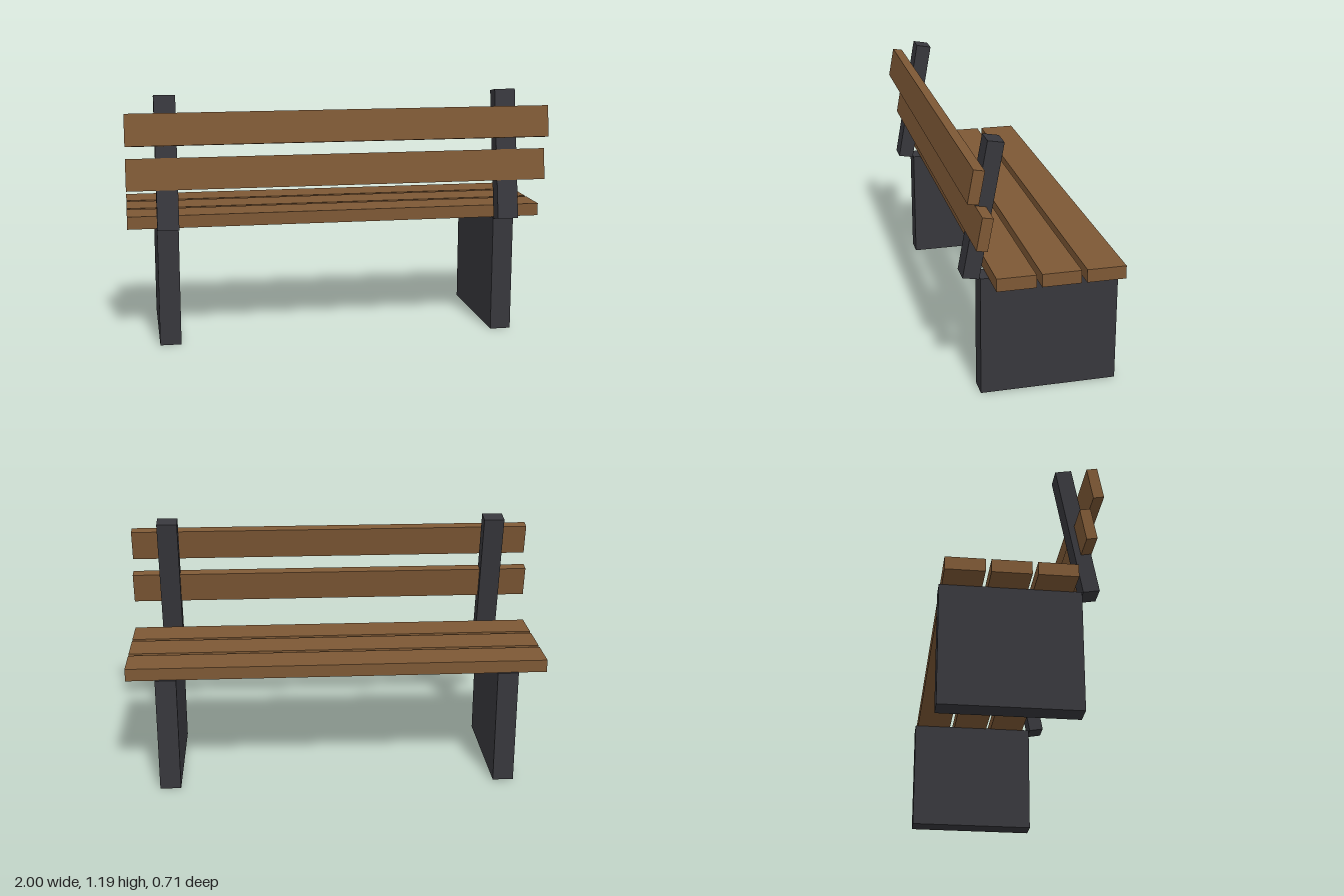
import * as THREE from 'three';

export function createModel() {
  const bench = new THREE.Group();
  bench.name = 'bench';
  const wood = new THREE.MeshStandardMaterial({ color: 0x7d5835 });
  const metal = new THREE.MeshStandardMaterial({ color: 0x37373c });
  const lean = THREE.MathUtils.degToRad(-10.3);

  function addBox(name, material, [w, h, d], [x, y, z], tilt = 0) {
    const mesh = new THREE.Mesh(new THREE.BoxGeometry(w, h, d), material);
    mesh.name = name;
    mesh.position.set(x, y, z);
    mesh.rotation.x = tilt;
    bench.add(mesh);
  }

  // Slab legs and leaning backrest posts, mirrored
  for (const [side, s] of [['left', 1], ['right', -1]]) {
    addBox(side + 'Leg', metal, [0.1, 0.562, 0.627], [s * 0.8125, 0.281, -0.0425]);
    addBox(side + 'BackPost', metal, [0.1, 0.624, 0.0745], [s * 0.8125, 0.875, 0.2575], lean);
  }

  // Three seat planks
  [0.1455, -0.055, -0.2555].forEach((z, i) =>
    addBox('seatPlank' + (i + 1), wood, [2, 0.06, 0.176], [0, 0.59, z]));

  // Two backrest planks, tilted with the posts
  addBox('lowerBackPlank', wood, [2, 0.149, 0.049], [0, 0.826, 0.282], lean);
  addBox('upperBackPlank', wood, [2, 0.149, 0.049], [0, 1.039, 0.319], lean);

  return bench;
}
